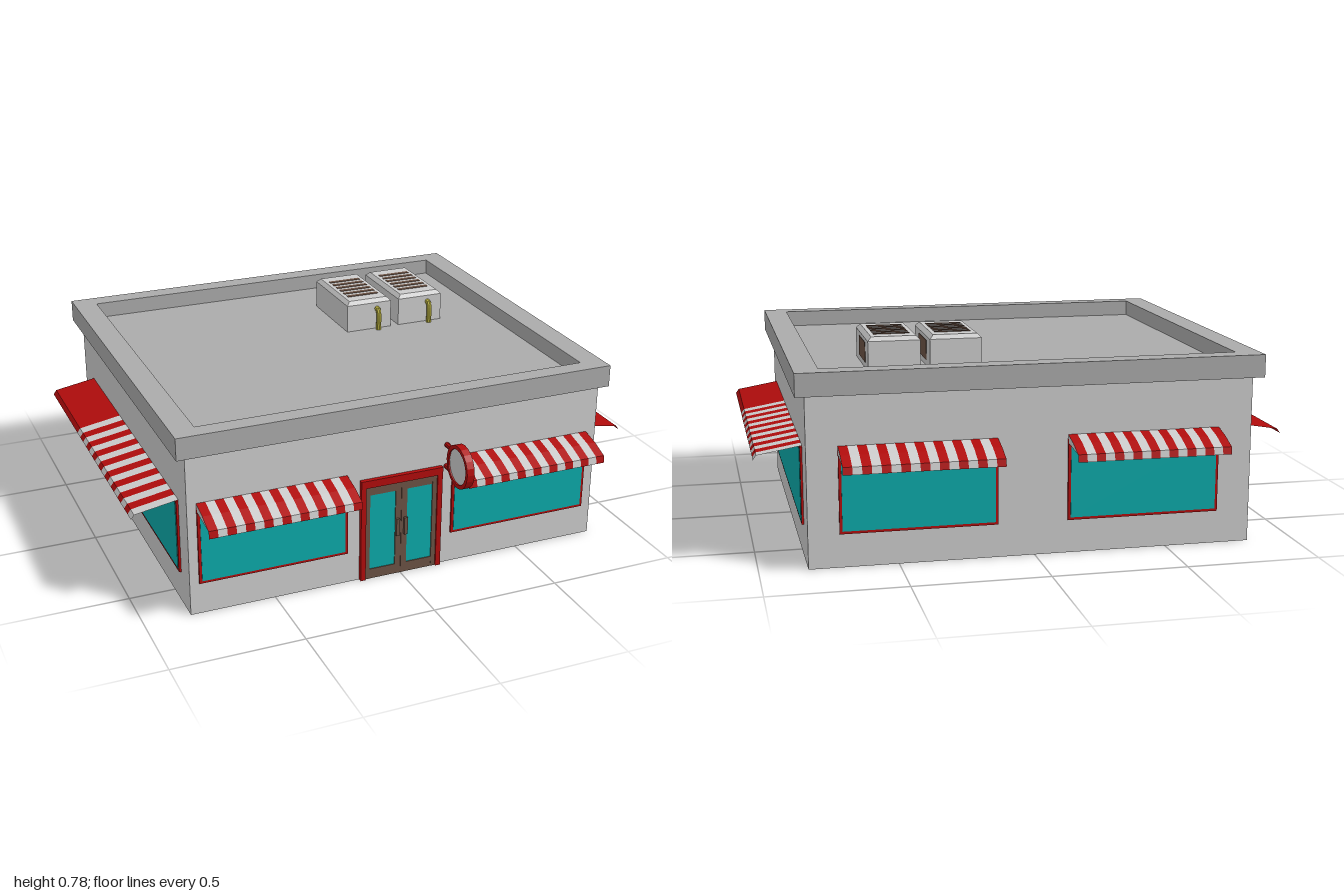
import * as THREE from 'three';

const mat = (color) => new THREE.MeshStandardMaterial({ color, side: THREE.DoubleSide, flatShading: true });
const M = {
  wall: mat(0xcccccc), trim: mat(0xaaaaaa), red: mat(0xb00c0c), glass: mat(0x0ca8a8),
  brown: mat(0x6b5244), yellow: mat(0xb8b040),
};

function add(parent, name, geo, material, x = 0, y = 0, z = 0) {
  const m = new THREE.Mesh(geo, material);
  m.name = name;
  m.position.set(x, y, z);
  parent.add(m);
  return m;
}
const box = (p, name, material, w, h, d, x, y, z) =>
  add(p, name, new THREE.BoxGeometry(w, h, d), material, x, y, z);

function rectPath(P, x0, x1, z0, z1) {
  const p = new P();
  p.moveTo(x0, -z1).lineTo(x1, -z1).lineTo(x1, -z0).lineTo(x0, -z0).closePath();
  return p;
}

// Rectangular ring seen from above, raised by h
function ring(outer, inner, h) {
  const s = rectPath(THREE.Shape, ...outer);
  s.holes.push(rectPath(THREE.Path, ...inner));
  return new THREE.ExtrudeGeometry(s, { depth: h, bevelEnabled: false }).rotateX(-Math.PI / 2);
}

// Strip of awning cloth following a profile of [out, y] points
function strip(x0, x1, profile) {
  const g = new THREE.PlaneGeometry(x1 - x0, 1, 1, profile.length - 1);
  const p = g.attributes.position;
  for (let i = 0; i < p.count; i++) {
    const [out, y] = profile[i >> 1];
    p.setXYZ(i, p.getX(i) + (x0 + x1) / 2, y, out);
  }
  g.computeVertexNormals();
  return g;
}

function stripes(parent, x0, x1, profile, count, firstRed) {
  const w = (x1 - x0) / count;
  for (let i = 0; i < count; i++) {
    const red = (i % 2 === 0) === firstRed;
    add(parent, 'awningStripe', strip(x0 + i * w, x0 + (i + 1) * w, profile), red ? M.red : M.wall);
  }
}

function windowPane(parent, cx, w, y0, y1) {
  box(parent, 'windowFrame', M.red, w, y1 - y0, 0.008, cx, (y0 + y1) / 2, 0.004);
  box(parent, 'windowGlass', M.glass, w - 0.02, y1 - y0 - 0.02, 0.008, cx, (y0 + y1) / 2, 0.006);
}

// A wall's own frame: local x along the wall, local z outward
function facade(parent, name, x, z, turn) {
  const g = new THREE.Group();
  g.name = name;
  g.position.set(x, 0, z);
  g.rotation.y = turn;
  parent.add(g);
  return g;
}

// Short striped awning with closed ends above a shop window
function shopWindow(parent, cx) {
  const w = 0.575, x0 = cx - w / 2, x1 = cx + w / 2;
  const profile = [[0, 0.445], [0.07, 0.428], [0.136, 0.402], [0.142, 0.375]];
  windowPane(parent, cx, w, 0.125, 0.43);
  stripes(parent, x0, x1, profile, 17, true);
  const cap = new THREE.Shape([[0, 0.445], [0.07, 0.428], [0.136, 0.402], [0, 0.415]]
    .map(([a, b]) => new THREE.Vector2(a, b)));
  for (const x of [x0, x1])
    add(parent, 'awningEnd', new THREE.ShapeGeometry(cap).rotateY(-Math.PI / 2), M.wall, x);
}

// Long side window with half plain, half striped awning
function sideWindow(parent) {
  const profile = [[0, 0.42], [0.163, 0.392], [0.175, 0.375]];
  windowPane(parent, 0, 1.2, 0.125, 0.415);
  add(parent, 'plainAwning', strip(-0.603, -0.187, profile), M.red);
  stripes(parent, -0.187, 0.603, profile, 17, false);
}

function door(parent) {
  for (const s of [-1, 1]) {
    box(parent, 'doorPost', M.red, 0.02, 0.415, 0.016, s * 0.155, 0.2075, 0.008);
    // Leaf built from rails and stiles that show on both faces of the wall
    for (const x of [0.136, 0.012])
      box(parent, 'doorStile', M.brown, x > 0.1 ? 0.018 : 0.023, 0.385, 0.028, s * x, 0.1925, -0.004);
    box(parent, 'doorRail', M.brown, 0.11, 0.04, 0.027, s * 0.075, 0.02, -0.004);
    box(parent, 'doorRail', M.brown, 0.11, 0.035, 0.027, s * 0.075, 0.3675, -0.004);
    box(parent, 'doorGlass', M.glass, 0.105, 0.31, 0.006, s * 0.075, 0.195, 0.003);
    box(parent, 'doorHandle', M.brown, 0.014, 0.07, 0.01, s * 0.016, 0.2, 0.016);
  }
  box(parent, 'doorLintel', M.red, 0.33, 0.03, 0.018, 0, 0.4, 0.009);
}

// Round projecting sign, edge-on to the street
function sign(parent) {
  const g = facade(parent, 'sign', 0.185, 0.81, 0);
  const rim = new THREE.Shape().absarc(0, 0, 0.083, 0, Math.PI * 2);
  rim.holes.push(new THREE.Path().absarc(0, 0, 0.068, 0, Math.PI * 2));
  const rimGeo = new THREE.ExtrudeGeometry(rim, { depth: 0.03, bevelEnabled: false, curveSegments: 10 });
  add(g, 'signRim', rimGeo.translate(0, 0, -0.015).rotateY(Math.PI / 2), M.red, 0, 0.458, 0);
  add(g, 'signFace', new THREE.CylinderGeometry(0.07, 0.07, 0.02, 10).rotateZ(Math.PI / 2), M.wall, 0, 0.458, 0);
  for (const y of [0.497, 0.41])
    add(g, 'signBracket', new THREE.CylinderGeometry(0.01, 0.01, 0.065, 8).rotateX(Math.PI / 2),
      M.red, 0, y, -0.09);
}

function airConditioner(parent, cx) {
  const g = facade(parent, 'airConditioner', cx, -0.31, 0);
  box(g, 'unitBody', M.wall, 0.195, 0.115, 0.34, 0, 0.7075, 0);
  // Lid tapers inward toward the top
  const lid = new THREE.BoxGeometry(0.195, 0.015, 0.34);
  const p = lid.attributes.position;
  for (let i = 0; i < p.count; i++)
    if (p.getY(i) > 0) p.setXYZ(i, p.getX(i) * 0.85, p.getY(i), p.getZ(i) * 0.91);
  lid.computeVertexNormals();
  add(g, 'unitLid', lid, M.wall, 0, 0.7725, 0);
  for (let i = 0; i < 6; i++)
    box(g, 'lidSlat', M.brown, 0.135, 0.004, 0.018, 0, 0.78, -0.093 + i * 0.038);
  box(g, 'sideVent', M.brown, 0.006, 0.075, 0.17, 0.096, 0.7125, -0.01);
  // Bent pipe from the unit's front face to the roof
  const pipe = new THREE.CatmullRomCurve3([[0.16, 0.738], [0.18, 0.738], [0.188, 0.725], [0.188, 0.65]]
    .map(([z, y]) => new THREE.Vector3(0.035, y, z)));
  add(g, 'pipe', new THREE.TubeGeometry(pipe, 10, 0.011, 8), M.yellow);
}

export function createModel() {
  const model = new THREE.Group();
  model.name = 'shop';

  // Shell, open underneath
  add(model, 'walls', ring([-0.825, 0.825, -0.745, 0.695], [-0.82, 0.82, -0.74, 0.69], 0.65), M.wall);
  add(model, 'cornice', ring([-0.86, 0.86, -0.775, 0.715], [-0.77, 0.77, -0.7, 0.645], 0.085), M.trim, 0, 0.63, 0);
  box(model, 'roof', M.trim, 1.64, 0.006, 1.43, 0, 0.65, -0.025);

  const front = facade(model, 'front', 0, 0.695, 0);
  for (const x of [-0.5025, 0.4975]) shopWindow(front, x);
  door(front);
  const back = facade(model, 'back', 0, -0.745, Math.PI);
  for (const x of [0.41, -0.425]) shopWindow(back, x);
  for (const s of [-1, 1])
    sideWindow(facade(model, s > 0 ? 'leftSide' : 'rightSide', s * 0.825, -0.005, s * Math.PI / 2));

  sign(model);
  for (const x of [0.2375, 0.4675]) airConditioner(model, x);
  return model;
}
